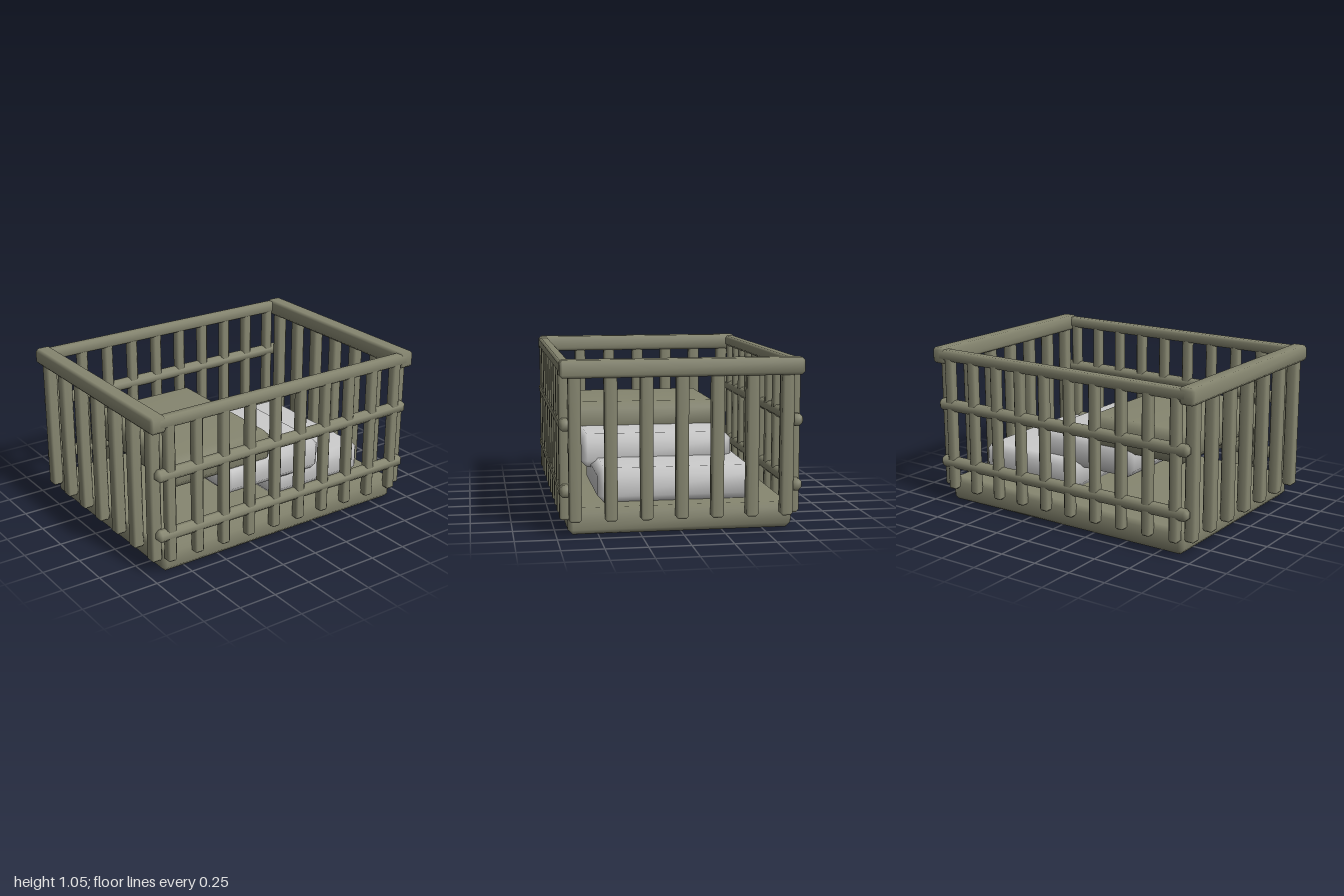
import * as THREE from 'three';
import { ConvexGeometry } from 'three/addons/geometries/ConvexGeometry.js';
import { mergeVertices } from 'three/addons/utils/BufferGeometryUtils.js';

const wood = new THREE.MeshStandardMaterial({ color: 0x868670 });
const cloth = new THREE.MeshStandardMaterial({ color: 0xcccccc });

// Box with every edge cut by a single chamfer c, softly shaded
function chamferBox(w, h, d, c) {
  const half = [w / 2, h / 2, d / 2];
  const points = [];
  for (const sx of [-1, 1]) for (const sy of [-1, 1]) for (const sz of [-1, 1])
    for (let axis = 0; axis < 3; axis++) {
      const p = half.map((v, i) => (i === axis ? v : v - c));
      points.push(new THREE.Vector3(sx * p[0], sy * p[1], sz * p[2]));
    }
  const hull = new ConvexGeometry(points);
  hull.deleteAttribute('normal');
  const geometry = mergeVertices(hull);
  geometry.computeVertexNormals();
  return geometry;
}

export function createModel() {
  const model = new THREE.Group();
  model.name = 'slattedCrate';

  function add(name, geometry, x, y, z, material = wood) {
    const mesh = new THREE.Mesh(geometry, material);
    mesh.name = name;
    mesh.position.set(x, y, z);
    model.add(mesh);
  }

  // Floor slab
  add('base', chamferBox(1.82, 0.16, 1.36, 0.03), 0, 0.08, 0);

  const longSlat = chamferBox(0.065, 0.9, 0.065, 0.013);
  const longRail = chamferBox(1.92, 0.074, 0.07, 0.02);
  const longTop = chamferBox(1.9, 0.072, 0.072, 0.014);
  const endSlat = chamferBox(0.075, 0.9, 0.075, 0.014);
  const endTop = chamferBox(0.108, 0.105, 1.455, 0.018);

  for (const s of [-1, 1]) {
    const long = s > 0 ? 'front' : 'back';
    const end = s > 0 ? 'left' : 'right';

    // Front and back walls
    for (let i = 0; i < 10; i++)
      add(long + 'Slat', longSlat, (i - 4.5) * 0.1925, 0.54, s * 0.695);
    for (const y of [0.272, 0.665]) add(long + 'Rail', longRail, 0, y, s * 0.695);
    add(long + 'TopRail', longTop, 0, 1.0, s * 0.692);

    // End walls
    for (let i = 0; i < 7; i++)
      add(end + 'Slat', endSlat, s * 0.945, 0.54, (i - 3) * 0.212 + 0.004);
    add(end + 'TopRail', endTop, s * 0.946, 0.993, 0);
  }

  // Stack of staggered cushions
  const cushion = chamferBox(0.752, 0.213, 0.975, 0.045);
  add('lowerCushion', cushion, 0.41, 0.262, 0, cloth);
  add('middleCushion', cushion, 0.012, 0.41, 0.066, cloth);
  add('upperCushion', cushion, -0.381, 0.565, 0.069);

  return model;
}
